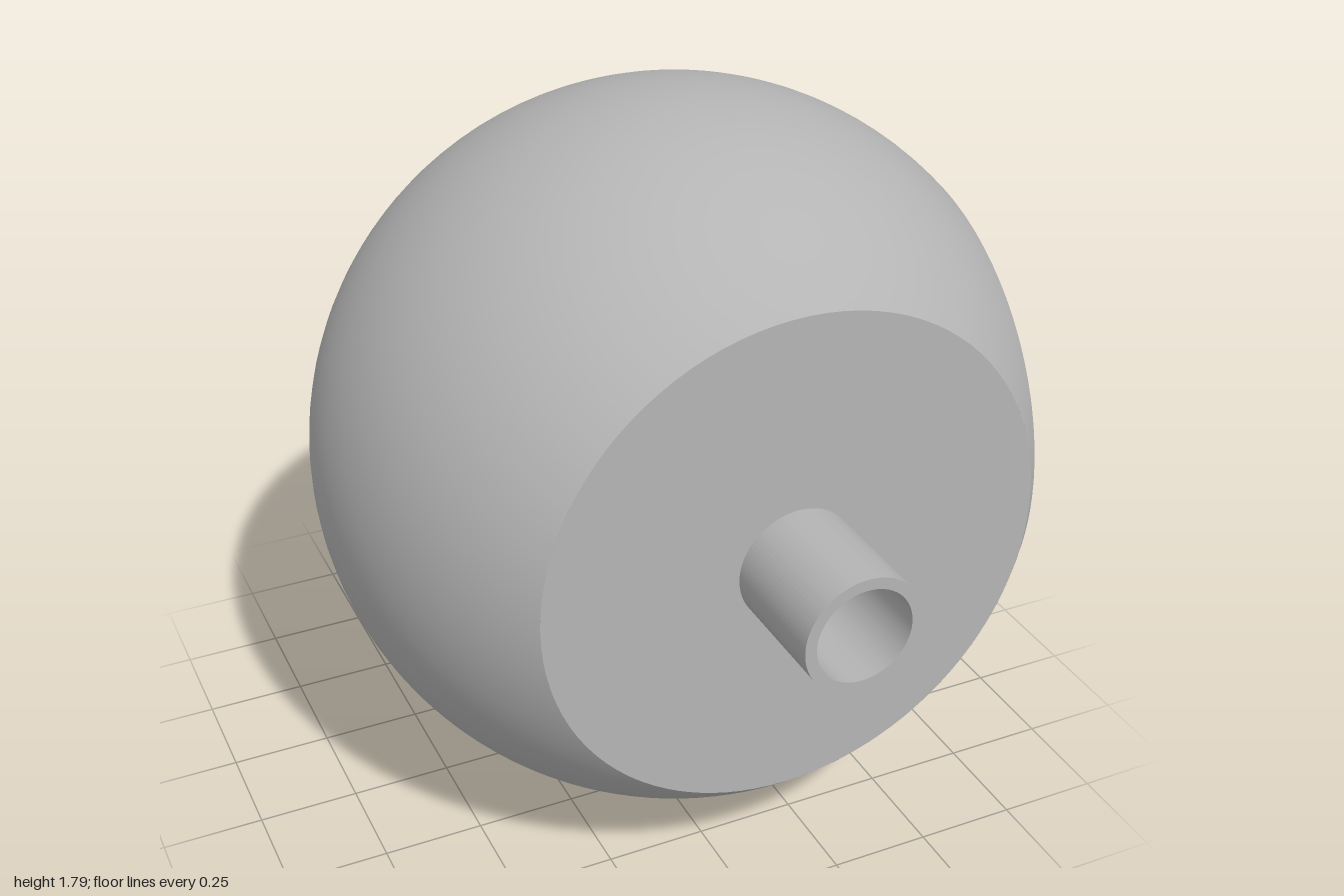
import * as THREE from 'three';

const R = 0.897;                                   // shell radius
const C = new THREE.Vector3(0.12, 0.9, 0.055);     // shell centre
// Flat cuts through the ball: axis, direction, distance from the centre
const CUTS = [['x', 1, 0.65], ['z', 1, 0.645], ['z', -1, 0.645]];
const rim = d => Math.sqrt(R * R - d * d);

// Smooth sphere whose vertices beyond a cut are snapped to that cut's rim
function shellGeometry() {
  const geo = new THREE.SphereGeometry(R, 96, 64);
  const pos = geo.attributes.position, nor = geo.attributes.normal;
  const cutOf = [], v = new THREE.Vector3();
  for (let i = 0; i < pos.count; i++) {
    v.fromBufferAttribute(pos, i);
    cutOf[i] = CUTS.findIndex(([axis, s, d]) => v[axis] * s > d);
    if (cutOf[i] >= 0) {
      const [axis, s, d] = CUTS[cutOf[i]];
      v[axis] = 0;
      if (v.length() < 1e-6) v.y = 1;
      v.setLength(rim(d));
      v[axis] = s * d;
      pos.setXYZ(i, v.x, v.y, v.z);
      v.normalize();
      nor.setXYZ(i, v.x, v.y, v.z);
    }
  }
  // Leave the flat faces open; they are separate plates
  const kept = [], idx = geo.index.array;
  for (let i = 0; i < idx.length; i += 3) {
    const [a, b, c] = [idx[i], idx[i + 1], idx[i + 2]];
    if (cutOf[a] >= 0 && cutOf[a] === cutOf[b] && cutOf[a] === cutOf[c]) continue;
    kept.push(a, b, c);
  }
  geo.setIndex(kept);
  return geo;
}

function circle(r, x = 0, y = 0) {
  return new THREE.Shape().absarc(x, y, r, 0, Math.PI * 2, false);
}

function rect(x0, y0, x1, y1) {
  return new THREE.Shape([[x0, y0], [x1, y0], [x1, y1], [x0, y1]].map(p => new THREE.Vector2(...p)));
}

const plate = (shape, depth) =>
  new THREE.ExtrudeGeometry(shape, { depth, bevelEnabled: false, curveSegments: 48 });

// Open pipe along z from z0 to z1
function pipe(outer, inner, z0, z1) {
  const shape = circle(outer);
  shape.holes.push(circle(inner));
  return plate(shape, z1 - z0).translate(C.x, C.y, z0);
}

export function createModel() {
  const model = new THREE.Group();
  const grey = new THREE.MeshStandardMaterial({ color: 0xb4b4b4, side: THREE.DoubleSide });
  grey.name = 'grey';
  const add = (name, geo) => {
    const mesh = new THREE.Mesh(geo, grey);
    mesh.name = name;
    model.add(mesh);
    return mesh;
  };

  // Hollow ball
  add('ballShell', shellGeometry()).position.copy(C);

  // Flat faces at front and back
  const t = 0.02;
  add('frontFace', plate(circle(rim(0.645)), t).translate(C.x, C.y, C.z + 0.645 - t));
  add('backFace', plate(circle(rim(0.645)), t).translate(C.x, C.y, C.z - 0.645));

  // Side face with a large and a small round opening (shape x runs towards -z)
  const side = circle(rim(0.65));
  side.holes.push(circle(0.347, -0.255, 0.005), circle(0.164, 0.375, 0.005));
  add('sideFace', plate(side, t).rotateY(Math.PI / 2).translate(C.x + 0.65 - t, C.y, C.z));

  // Pipe stubs, the rear one stepped
  add('frontPipe', pipe(0.145, 0.117, 0.7, 1));
  add('backPipe', pipe(0.145, 0.085, -0.885, -0.59));
  add('backPipeTip', pipe(0.115, 0.085, -1, -0.885));

  // Thin upright frame and level shelf inside the ball
  const frame = rect(-0.39, 0.54, 0.63, 1.26);
  frame.holes.push(rect(-0.25, 0.69, 0.49, 1.12));
  add('innerFrame', plate(frame, 0.03).translate(0, 0, -0.08));
  const shelf = new THREE.BoxGeometry(0.8, 0.006, 0.9);
  add('innerShelf', shelf.translate(0.2, 1.1, 0.03));

  return model;
}
